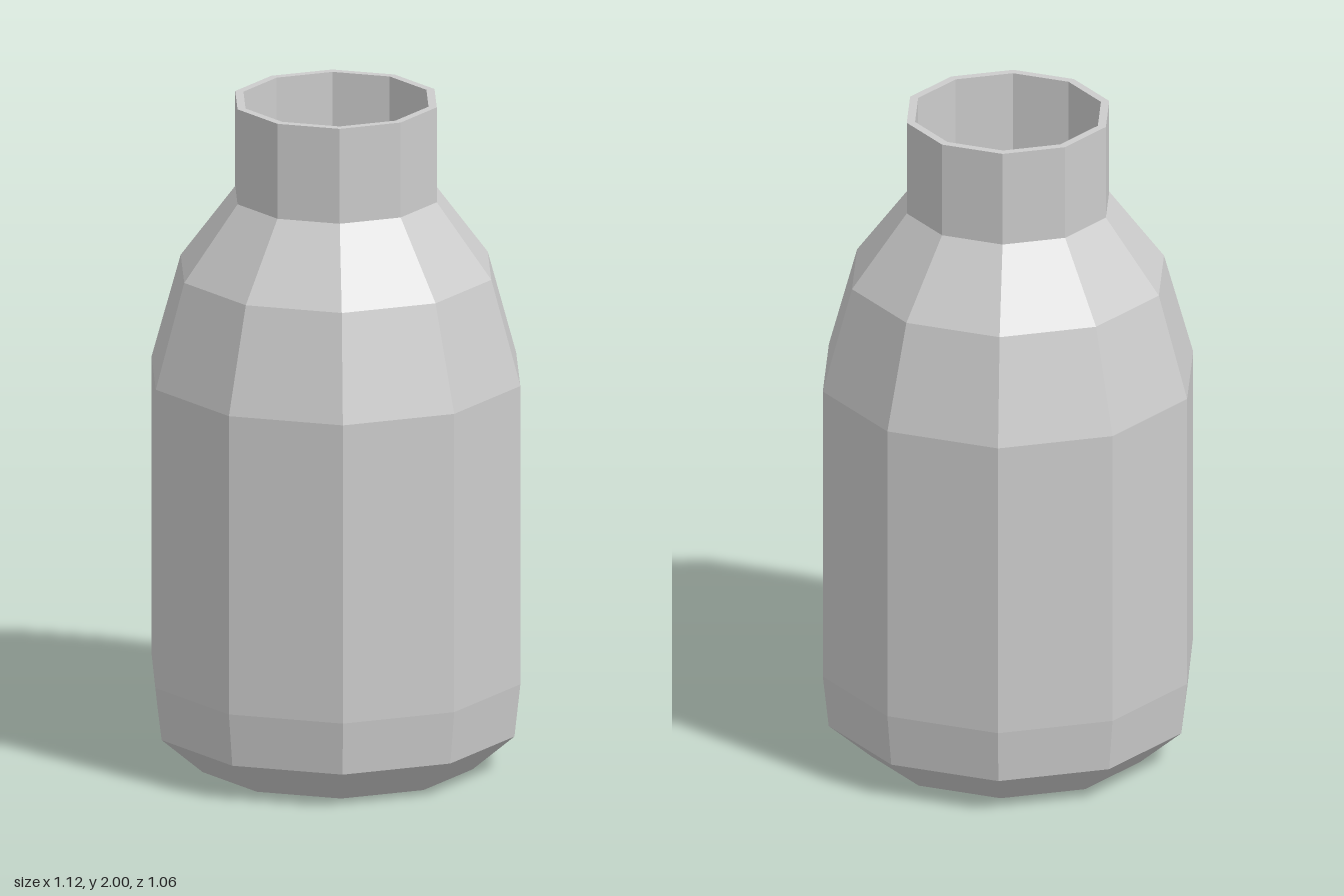
import * as THREE from 'three';

const SIDES = 10;

// Ten-sided turned surface with a corner on the x axis
function turned(name, profile, material) {
  const points = profile.map(([r, y]) => new THREE.Vector2(r, y));
  const mesh = new THREE.Mesh(new THREE.LatheGeometry(points, SIDES, Math.PI / 2), material);
  mesh.name = name;
  return mesh;
}

export function createModel() {
  const group = new THREE.Group();
  group.name = 'bottle';

  const grey = new THREE.MeshStandardMaterial({ color: 0xcccccc, flatShading: true });
  grey.name = 'light grey';

  // Base, chamfer, body, shoulder and neck, from bottom to top
  group.add(turned('outerShell', [
    [0, 0], [0.413, 0], [0.54, 0.11], [0.558, 0.27], [0.558, 1.175],
    [0.47, 1.49], [0.305, 1.712], [0.305, 2],
  ], grey));

  // Flat lip around the mouth
  group.add(turned('rim', [[0.305, 2], [0.28, 2]], grey));

  // Hollow inside, from the mouth down to the floor
  group.add(turned('innerWall', [
    [0.28, 2], [0.28, 1.705], [0.447, 1.478], [0.533, 1.17],
    [0.533, 0.27], [0.516, 0.12], [0.404, 0.025], [0, 0.025],
  ], grey));

  return group;
}
